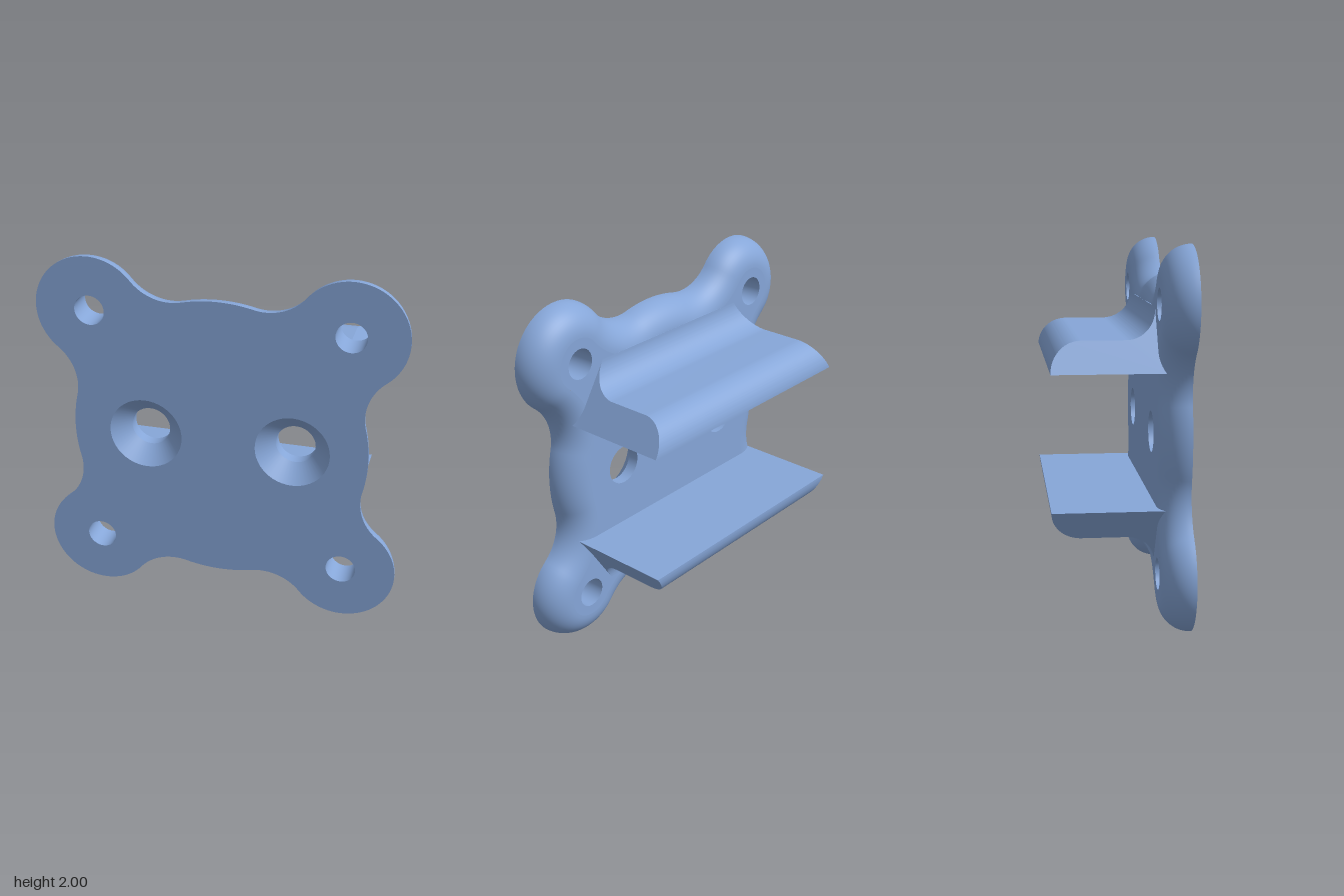
import * as THREE from 'three';
import { toCreasedNormals } from 'three/addons/utils/BufferGeometryUtils.js';

const FRONT = 0.355, BACK = 0.195, ROUND = 0.16;
const CORNER = 0.7, LOBE_R = 0.3, BODY_R = 0.82, FILLET_R = 0.275;
const HOLE_R = 0.083, SINK_X = 0.41, SINK_R = 0.205, BORE_R = 0.11;

// Plate outline inset by d: body arc, fillet, corner lobe, fillet, four times round
function outline(d) {
  const fx = 1.0646, fy = 0.2557;
  const beta = Math.atan2(fy, fx);
  const t = Math.atan2(CORNER - fy, CORNER - fx);
  const H = Math.PI / 2;
  const arcs = [
    [0, 0, BODY_R - d, -beta, beta, 14],
    [fx, fy, FILLET_R + d, Math.PI + beta, t, 18],
    [CORNER, CORNER, LOBE_R - d, t - Math.PI, H - (t - Math.PI), 40],
    [fy, fx, FILLET_R + d, H - t + 2 * Math.PI, H - beta + Math.PI, 18],
  ];
  const pts = [];
  for (let q = 0; q < 4; q++) {
    for (const [cx, cy, r, a0, a1, n] of arcs) {
      for (let i = 0; i < n; i++) {
        const a = a0 + (a1 - a0) * i / n;
        pts.push(new THREE.Vector2(cx + r * Math.cos(a), cy + r * Math.sin(a))
          .rotateAround(new THREE.Vector2(), q * H));
      }
    }
  }
  return pts;
}

const cornerSpots = [[1, 1], [-1, 1], [-1, -1], [1, -1]].map(([x, y]) => [x * CORNER, y * CORNER]);
const sinkSpots = [[-SINK_X, 0], [SINK_X, 0]];

// Flat plate face with its holes
function faceGeometry(d, sinkRadius) {
  const shape = new THREE.Shape(outline(d));
  const cut = ([x, y], r) => shape.holes.push(new THREE.Path().absarc(x, y, r, 0, Math.PI * 2, true));
  cornerSpots.forEach((p) => cut(p, HOLE_R));
  sinkSpots.forEach((p) => cut(p, sinkRadius));
  return new THREE.ShapeGeometry(shape, 24);
}

// Quarter-round rim lofted from the front outline to the inset back outline
function rimGeometry() {
  const steps = 14, pos = [], idx = [];
  let n = 0;
  for (let k = 0; k <= steps; k++) {
    const a = (k / steps) * Math.PI / 2;
    const ring = outline(ROUND * (1 - Math.cos(a)));
    n = ring.length;
    ring.forEach((p) => pos.push(p.x, p.y, FRONT - ROUND * Math.sin(a)));
  }
  for (let k = 0; k < steps; k++) {
    for (let j = 0; j < n; j++) {
      const a = k * n + j, b = k * n + (j + 1) % n;
      idx.push(a, a + n, b, b, a + n, b + n);
    }
  }
  const g = new THREE.BufferGeometry();
  g.setAttribute('position', new THREE.Float32BufferAttribute(pos, 3));
  g.setIndex(idx);
  g.computeVertexNormals();
  return g;
}

// Inside wall of a hole; points run front to back so it faces the axis
function boreGeometry(points) {
  const g = new THREE.LatheGeometry(points.map(([r, z]) => new THREE.Vector2(r, z)), 48);
  return toCreasedNormals(g.rotateX(Math.PI / 2), 0.5);
}

// Rail: filleted profile swept along x, its ends leaning in towards the outer side
function railGeometry() {
  const y0 = 0.355, y1 = y0 + ROUND, H = Math.PI / 2;
  const s = new THREE.Shape();
  s.moveTo(-0.25, y0);
  s.lineTo(FRONT - ROUND + 0.16, y0);
  s.absarc(0.195, y0, ROUND, 0, H, false);
  s.lineTo(-BACK + ROUND, y1);
  s.absarc(-BACK + ROUND, y1 + ROUND, ROUND, -H, -Math.PI, true);
  s.lineTo(-0.25, y1 + ROUND);
  s.closePath();
  const g = new THREE.ExtrudeGeometry(s, { depth: 2, steps: 1, bevelEnabled: false, curveSegments: 20 });
  g.translate(0, 0, -1).rotateY(Math.PI / 2);
  const p = g.attributes.position;
  for (let i = 0; i < p.count; i++) {
    p.setX(i, Math.sign(p.getX(i)) * (0.745 - 0.64 * (p.getY(i) - y0)));
  }
  return toCreasedNormals(g, 0.5);
}

export function createModel() {
  const model = new THREE.Group();
  model.name = 'mountingBracket';
  const body = new THREE.Group();
  body.name = 'bracketBody';
  body.position.y = 1;
  model.add(body);
  const material = new THREE.MeshStandardMaterial({ color: 0x86a6d8 });

  const add = (name, geometry, x = 0, y = 0, z = 0) => {
    const mesh = new THREE.Mesh(geometry, material);
    mesh.name = name;
    mesh.position.set(x, y, z);
    body.add(mesh);
    return mesh;
  };

  // Plate
  add('plateFront', faceGeometry(0, SINK_R), 0, 0, FRONT);
  add('plateBack', faceGeometry(ROUND, BORE_R), 0, 0, BACK).rotation.y = Math.PI;
  add('plateRim', rimGeometry());

  // Corner screw holes and countersunk centre holes
  const bore = boreGeometry([[HOLE_R, FRONT], [HOLE_R, BACK]]);
  cornerSpots.forEach(([x, y]) => add('cornerHole', bore, x, y));
  const sink = boreGeometry([[SINK_R, FRONT], [BORE_R, FRONT - 0.095], [BORE_R, BACK]]);
  sinkSpots.forEach(([x, y]) => add('countersunkHole', sink, x, y));

  // Upper and lower rails
  const rail = railGeometry();
  add('upperRail', rail);
  add('lowerRail', rail).rotation.z = Math.PI;

  return model;
}
